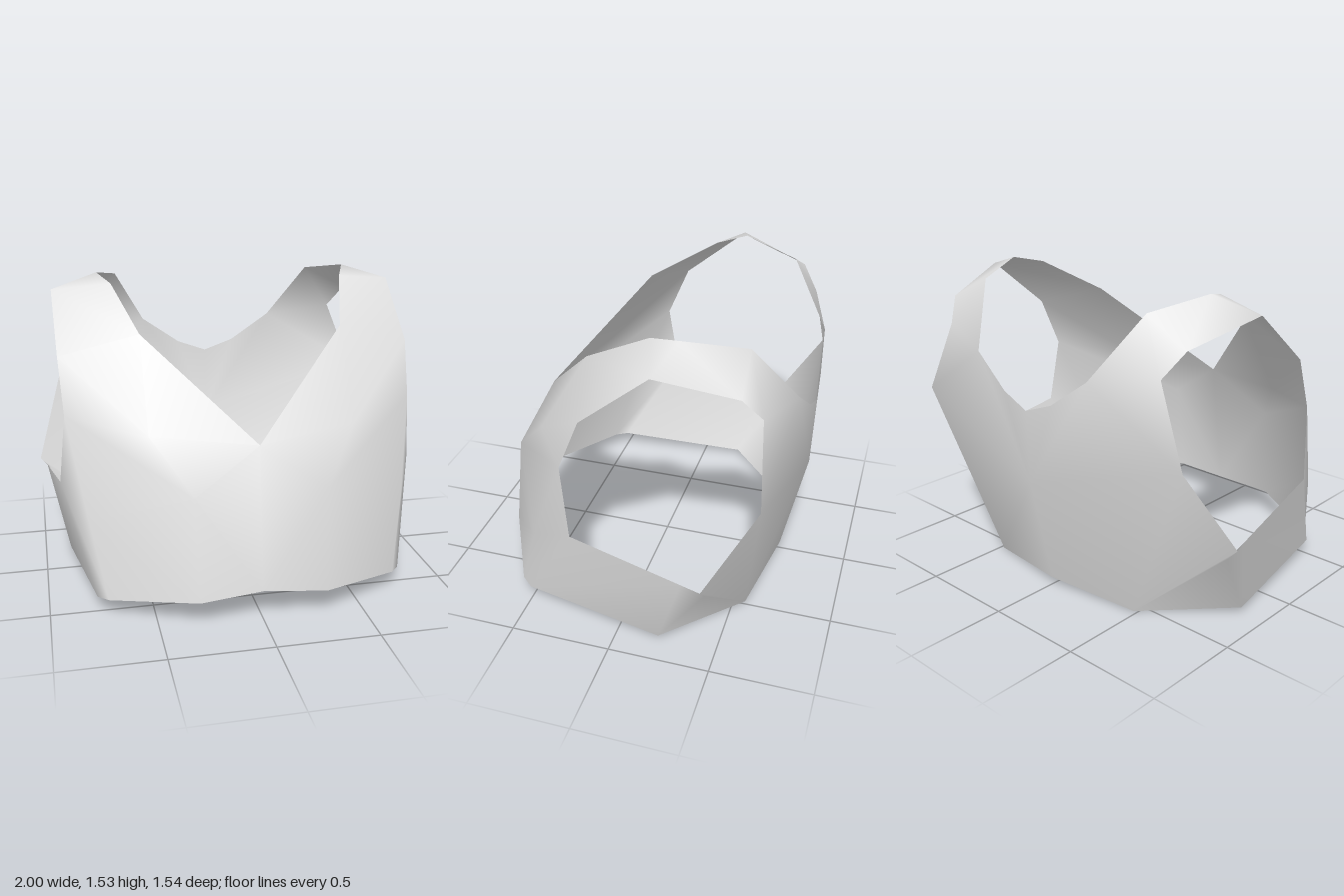
import * as THREE from 'three';

// Named points of the left half (x >= 0); the right half is mirrored.
const hem = {
  h0: [0, 0.15, 0.74], h1: [0.31, 0.135, 0.77], h2: [0.72, 0.087, 0.56], hs: [0.77, 0.08, 0.5],
  h3: [0.865, 0.024, -0.21], h4: [0.48, 0.003, -0.56], h5: [0, 0.04, -0.645],
};
const body = {
  m1: [0.32, 0.64, 0.71], m2: [0.79, 0.45, 0.445],
  chest: [0.5, 0.88, 0.5], fold: [0.95, 0.415, -0.46], b5: [0, 0.6, -0.765],
};
const neckline = {
  n1: [0, 0.85, 0.64], n2: [0.5, 1.31, 0.24], n3: [0.6, 1.5, -0.1], n4: [0.66, 1.535, -0.25],
  n5: [0.54, 1.48, -0.54], n6: [0.37, 1.18, -0.742], n7: [0.16, 1.03, -0.765], n8: [0, 0.97, -0.775],
};
const armhole = {
  a0: [0.91, 0.575, 0.205], a1: [0.875, 0.93, 0.25], a2: [0.89, 1.195, 0.14], a3: [0.895, 1.465, -0.19],
  a4: [0.78, 1.36, -0.555], a5: [0.71, 1.24, -0.64], a6: [0.87, 0.87, -0.68],
  tip: [1.0, 0.47, -0.45], side: [0.965, 0.465, -0.35],
};

// Panels as loops of point names, counter-clockwise from outside
const panels = [
  // lower front and side
  'h0 h1 m1', 'h1 h2 m2 m1', 'h2 hs a0 m2', 'hs h3 side', 'hs side a0',
  // underarm fold
  'h3 fold side', 'h3 h4 fold', 'side fold tip', 'fold h4 tip',
  // chest
  'h0 m1 n1', 'm1 chest n1', 'm1 m2 a1 chest', 'm2 a0 a1', 'chest a1 a2', 'chest a2 n2', 'n1 chest n2',
  // shoulder strap
  'n2 a2 a3 n3', 'n3 a3 n4', 'n4 a3 a4 n5', 'n5 a4 a5 n6',
  // back
  'h4 a6 tip', 'h4 b5 a6', 'h4 h5 b5', 'a6 b5 n6', 'b5 n8 n7', 'b5 n7 n6', 'a6 n6 a5',
];

function garmentGeometry() {
  const points = { ...hem, ...body, ...neckline, ...armhole };
  const position = [], index = [], left = {}, right = {};
  const add = (x, y, z) => position.push(x, y, z) / 3 - 1;
  // Centre points are shared so the shading stays smooth across the middle
  for (const [name, [x, y, z]] of Object.entries(points)) {
    left[name] = add(x, y, z);
    right[name] = x === 0 ? left[name] : add(-x, y, z);
  }
  for (const panel of panels) {
    const p = panel.split(' ');
    for (let i = 1; i < p.length - 1; i++) {
      index.push(left[p[0]], left[p[i]], left[p[i + 1]]);
      index.push(right[p[0]], right[p[i + 1]], right[p[i]]);
    }
  }
  const geometry = new THREE.BufferGeometry();
  geometry.setAttribute('position', new THREE.Float32BufferAttribute(position, 3));
  geometry.setIndex(index);
  geometry.computeVertexNormals();
  return geometry;
}

export function createModel() {
  const fabric = new THREE.MeshStandardMaterial({ color: 0xe3e3e3, side: THREE.DoubleSide });
  fabric.name = 'light grey fabric';
  const top = new THREE.Mesh(garmentGeometry(), fabric);
  top.name = 'sleevelessTop';
  const group = new THREE.Group();
  group.name = 'garment';
  group.add(top);
  return group;
}
